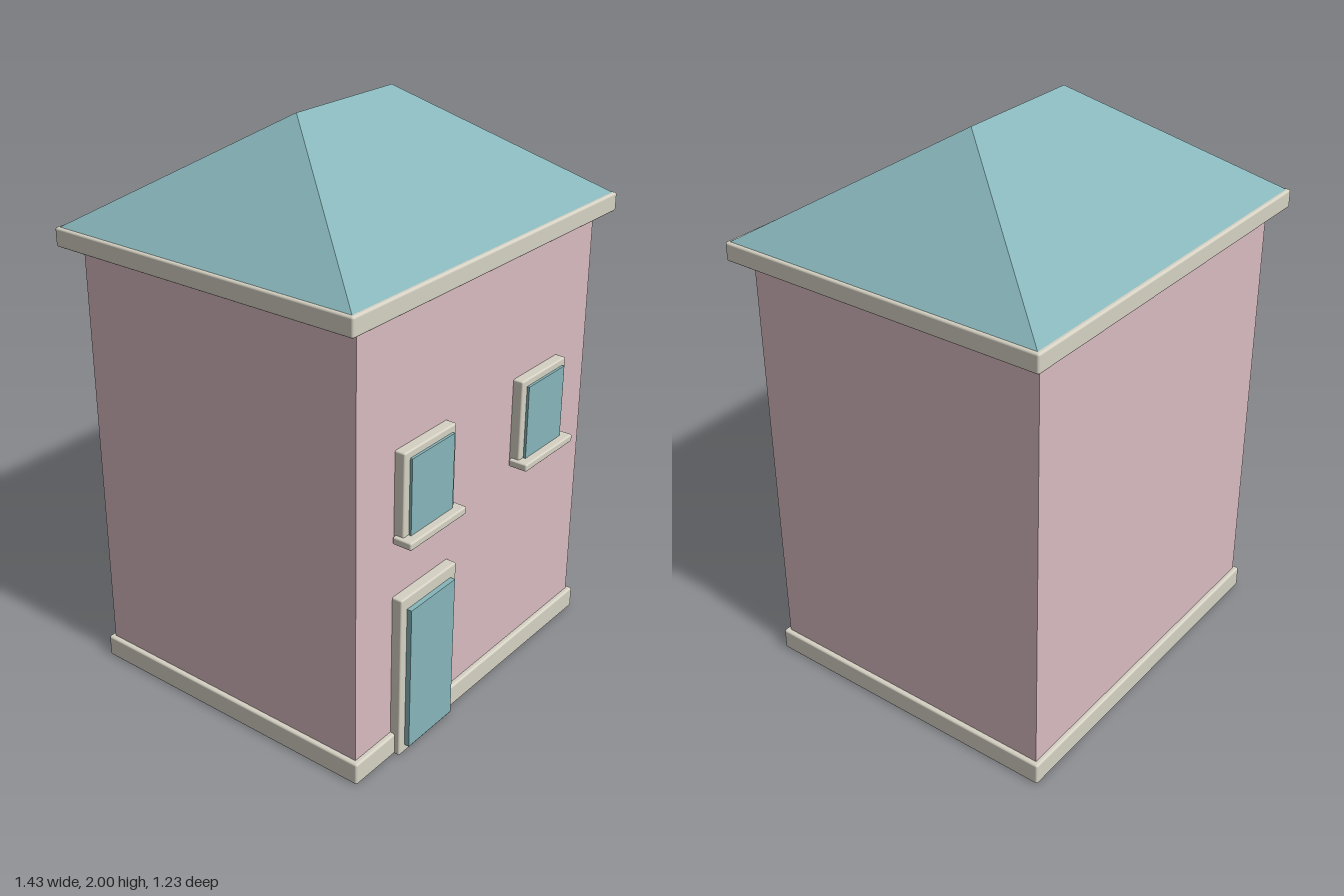
import * as THREE from 'three';
import { RoundedBoxGeometry } from 'three/addons/geometries/RoundedBoxGeometry.js';

const material = (name, color) => {
  const m = new THREE.MeshStandardMaterial({ color });
  m.name = name;
  return m;
};

export function createModel() {
  const house = new THREE.Group();
  house.name = 'house';
  const pink = material('pink wall', 0xd9bbc0);
  const stone = material('pale stone', 0xd6d2c4);
  const teal = material('teal', 0x87b5ba);

  // Box given by its extents; a radius softens the edges of the trim
  const box = (parent, name, mat, [x0, x1], [y0, y1], [z0, z1], r = 0) => {
    const size = [x1 - x0, y1 - y0, z1 - z0];
    const geo = r ? new RoundedBoxGeometry(...size, 2, r) : new THREE.BoxGeometry(...size);
    const mesh = new THREE.Mesh(geo, mat);
    mesh.name = name;
    mesh.position.set((x0 + x1) / 2, (y0 + y1) / 2, (z0 + z1) / 2);
    parent.add(mesh);
  };

  // Body
  box(house, 'walls', pink, [-0.643, 0.643], [0.01, 1.6], [-0.565, 0.54]);
  box(house, 'plinth', stone, [-0.66, 0.66], [0, 0.08], [-0.582, 0.558], 0.008);
  box(house, 'eaves', stone, [-0.715, 0.715], [1.57, 1.635], [-0.614, 0.586], 0.008);

  // Hipped roof: a box whose top face is drawn in to a short ridge
  const roofGeo = new THREE.BoxGeometry(1.42, 0.37, 1.19).toNonIndexed();
  const p = roofGeo.attributes.position;
  for (let i = 0; i < p.count; i++) {
    if (p.getY(i) > 0) p.setXYZ(i, Math.sign(p.getX(i)) * 0.24, p.getY(i), Math.sign(p.getZ(i)) * 0.001);
  }
  roofGeo.computeVertexNormals();
  const roof = new THREE.Mesh(roofGeo, teal);
  roof.name = 'roof';
  roof.position.set(0, 1.815, -0.014);
  house.add(roof);

  // Windows with frame, pane and sill
  for (const [side, x] of [['right', -0.323], ['left', 0.323]]) {
    const win = new THREE.Group();
    win.name = side + 'Window';
    win.position.x = x;
    box(win, 'frame', stone, [-0.134, 0.134], [0.805, 1.115], [0.535, 0.577], 0.006);
    box(win, 'pane', teal, [-0.11, 0.11], [0.828, 1.092], [0.579, 0.588]);
    box(win, 'sill', stone, [-0.148, 0.148], [0.8, 0.827], [0.545, 0.616], 0.006);
    house.add(win);
  }

  // Door
  const door = new THREE.Group();
  door.name = 'door';
  box(door, 'doorFrame', stone, [-0.46, -0.164], [0, 0.6], [0.535, 0.577], 0.006);
  box(door, 'doorPanel', teal, [-0.431, -0.195], [0.03, 0.557], [0.577, 0.595]);
  house.add(door);

  return house;
}
